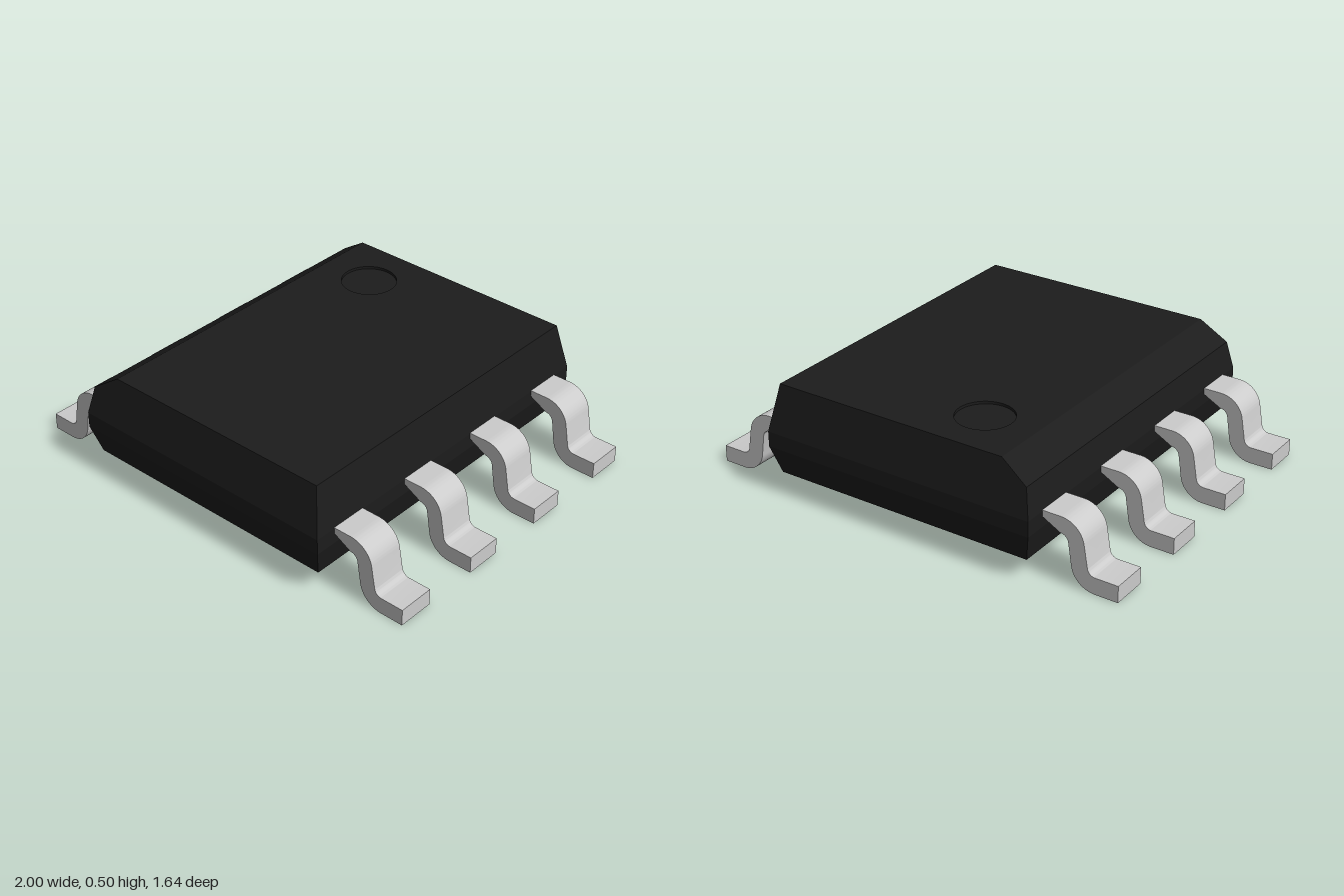
import * as THREE from 'three';
import { toCreasedNormals } from 'three/addons/utils/BufferGeometryUtils.js';

const TOP = 0.505;
const DOT = { x: -0.25, z: -0.53, r: 0.125, depth: 0.012 };

// Moulded shell: stacked rectangles [y, xMin, xMax, zHalf], open on top
function shellGeometry() {
  const layers = [
    [0.09, -0.62, 0.62, 0.78],
    [0.22, -0.652, 0.652, 0.82],
    [0.29, -0.652, 0.652, 0.82],
    [0.42, -0.626, 0.626, 0.793],
    [TOP, -0.5, 0.61, 0.775],
  ];
  const rings = layers.map(([y, a, b, d]) => [[a, y, d], [b, y, d], [b, y, -d], [a, y, -d]]);
  const pos = [];
  const quad = (a, b, c, d) => pos.push(...a, ...b, ...c, ...a, ...c, ...d);
  for (let i = 0; i < rings.length - 1; i++) {
    for (let k = 0; k < 4; k++) {
      const n = (k + 1) % 4;
      quad(rings[i][k], rings[i][n], rings[i + 1][n], rings[i + 1][k]);
    }
  }
  quad(...[...rings[0]].reverse()); // underside
  const geo = new THREE.BufferGeometry();
  geo.setAttribute('position', new THREE.Float32BufferAttribute(pos, 3));
  geo.computeVertexNormals();
  return geo;
}

// Top face with a round hole for the orientation mark
function topGeometry() {
  const s = new THREE.Shape();
  s.moveTo(-0.5, -0.775).lineTo(0.61, -0.775).lineTo(0.61, 0.775).lineTo(-0.5, 0.775).closePath();
  const hole = new THREE.Path();
  hole.absarc(DOT.x, -DOT.z, DOT.r, 0, Math.PI * 2, true);
  s.holes.push(hole);
  return new THREE.ShapeGeometry(s, 24).rotateX(-Math.PI / 2).translate(0, TOP, 0);
}

// Bent lead: S-shaped strip swept across its width
function leadGeometry() {
  const width = 0.168, tilt = 0.18;
  const s = new THREE.Shape();
  s.moveTo(0.6, 0.222);
  s.absarc(0.735, 0.185, 0.037, Math.PI / 2, tilt, true);
  s.absarc(0.895, 0.11, 0.11, Math.PI + tilt, Math.PI * 1.5, false);
  s.lineTo(1, 0);
  s.lineTo(1, 0.075);
  s.absarc(0.895, 0.11, 0.035, Math.PI * 1.5, Math.PI + tilt, true);
  s.absarc(0.735, 0.185, 0.11, tilt, Math.PI / 2, false);
  s.lineTo(0.6, 0.295);
  s.closePath();
  const geo = new THREE.ExtrudeGeometry(s, { depth: width, bevelEnabled: false, curveSegments: 12 });
  return toCreasedNormals(geo.translate(0, 0, -width / 2), 0.6);
}

export function createModel() {
  const model = new THREE.Group();
  model.name = 'chipPackage';
  const black = new THREE.MeshStandardMaterial({ color: 0x1c1c1c });
  const blackInside = new THREE.MeshStandardMaterial({ color: 0x1c1c1c, side: THREE.DoubleSide });
  const grey = new THREE.MeshStandardMaterial({ color: 0xcccccc });
  const add = (parent, name, geo, mat) => {
    const mesh = new THREE.Mesh(geo, mat);
    mesh.name = name;
    parent.add(mesh);
    return mesh;
  };

  // Body with its shallow round mark
  const body = new THREE.Group();
  body.name = 'body';
  add(body, 'shell', shellGeometry(), black);
  add(body, 'topFace', topGeometry(), black);
  add(body, 'markWall', new THREE.CylinderGeometry(DOT.r, DOT.r, DOT.depth, 48, 1, true), blackInside)
    .position.set(DOT.x, TOP - DOT.depth / 2, DOT.z);
  add(body, 'markFloor', new THREE.CircleGeometry(DOT.r, 48).rotateX(-Math.PI / 2), black)
    .position.set(DOT.x, TOP - DOT.depth, DOT.z);
  model.add(body);

  // Four leads on each side
  const lead = leadGeometry();
  for (const side of ['left', 'right']) {
    const row = new THREE.Group();
    row.name = side + 'Leads';
    if (side === 'right') row.rotation.y = Math.PI;
    for (let i = 0; i < 4; i++) {
      add(row, side + 'Lead' + (i + 1), lead, grey).position.z = (i - 1.5) * 0.425;
    }
    model.add(row);
  }
  return model;
}
